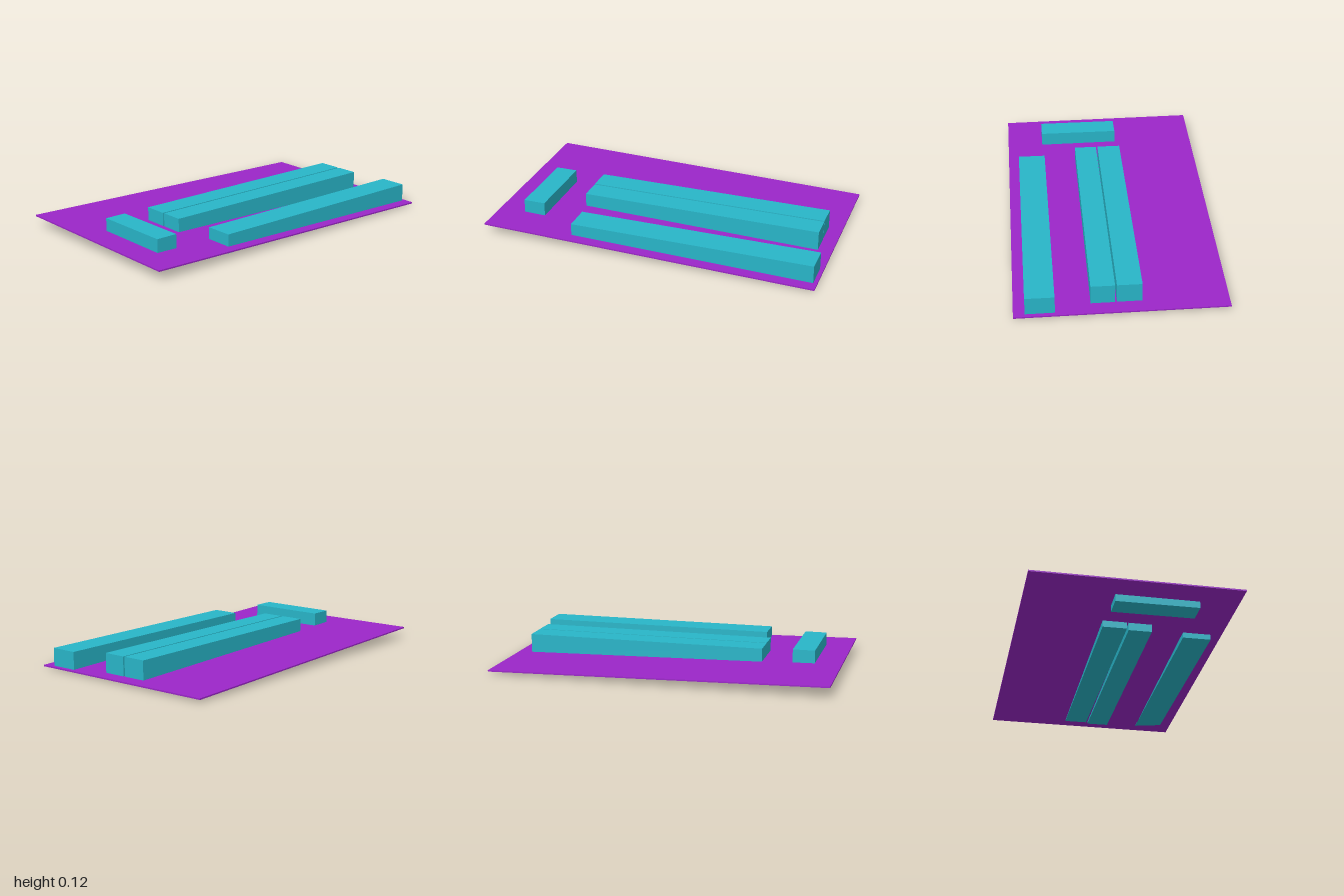
import * as THREE from 'three';

export function createModel() {
  const model = new THREE.Group();
  model.name = 'plateWithBars';
  model.rotation.y = 0.56; // everything is aligned to the turned plate

  const purple = new THREE.MeshStandardMaterial({ color: 0x9b26c8 });
  const teal = new THREE.MeshStandardMaterial({ color: 0x28b5c8 });

  function addBox(name, material, [length, height, width], [x, y, z]) {
    const mesh = new THREE.Mesh(new THREE.BoxGeometry(length, height, width), material);
    mesh.name = name;
    mesh.position.set(x, y, z);
    model.add(mesh);
    return mesh;
  }

  // Thin base plate, slightly tilted
  const plate = addBox('basePlate', purple, [1.713, 0.007, 1.018], [0, 0.033, 0]);
  plate.rotation.set(0.006, 0, -0.0235);

  // Level bars passing through the plate: name, length, width, x, z, bottom, top
  const bars = [
    ['backBar', 1.238, 0.12, 0.165, -0.038, 0.007, 0.115],
    ['middleBar', 1.238, 0.115, 0.166, 0.088, 0, 0.115],
    ['frontBar', 1.238, 0.14, 0.218, 0.384, 0.009, 0.104],
    ['crossBar', 0.112, 0.406, -0.664, 0.118, 0.011, 0.119],
  ];
  for (const [name, length, width, x, z, bottom, top] of bars) {
    addBox(name, teal, [length, top - bottom, width], [x, (bottom + top) / 2, z]);
  }

  const root = new THREE.Group();
  root.name = 'model';
  root.add(model);
  return root;
}
